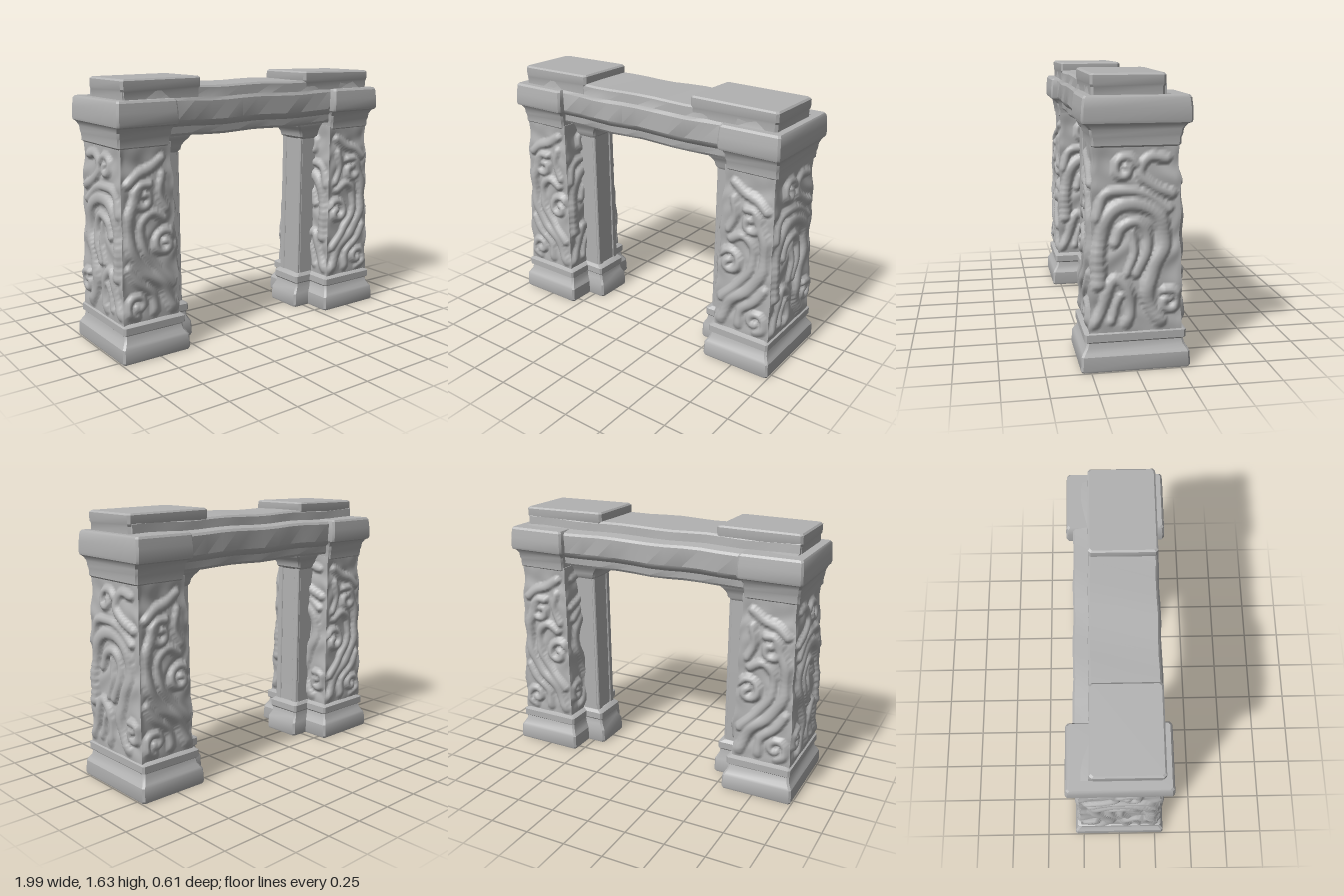
import * as THREE from 'three';
import { toCreasedNormals } from 'three/addons/utils/BufferGeometryUtils.js';

const stone = new THREE.MeshStandardMaterial({ color: 0xb2b2b2 });
stone.name = 'weathered stone';

function mesh(name, geo) {
  const m = new THREE.Mesh(geo, stone);
  m.name = name;
  return m;
}

// Stacked rectangular rings [y, halfX, halfZ] with small worn corner chamfers
function moulding(name, cx, cz, rings, c = 0.012) {
  const pos = [], idx = [];
  for (const [y, a, b] of rings) {
    const loop = [[a, -b + c], [a, b - c], [a - c, b], [c - a, b], [-a, b - c], [-a, c - b], [c - a, -b], [a - c, -b]];
    for (const [x, z] of loop) pos.push(cx + x, y, cz + z);
  }
  for (let i = 0; i < rings.length - 1; i++) {
    for (let j = 0; j < 8; j++) {
      const a = i * 8 + j, b = i * 8 + (j + 1) % 8;
      idx.push(a, a + 8, b, b, a + 8, b + 8);
    }
  }
  const top = (rings.length - 1) * 8;
  for (let j = 1; j < 7; j++) idx.push(0, j, j + 1, top, top + j + 1, top + j);
  const geo = new THREE.BufferGeometry();
  geo.setAttribute('position', new THREE.Float32BufferAttribute(pos, 3));
  geo.setIndex(idx);
  return mesh(name, toCreasedNormals(geo, 0.5));
}

// Carved strokes: [ridge width, ridge height, points (across, up)]
const stroke = ([w, h, pts]) => ({
  w, h,
  pts: new THREE.CatmullRomCurve3(pts.map(p => new THREE.Vector3(p[0], p[1], 0))).getPoints(48),
});
// Spiral that ends a wave
const curl = (cx, cy, r, dir, start, w = 0.026) => [w, 0.026, Array.from({ length: 12 }, (_, i) => {
  const t = start + dir * i * 0.62, q = r * (1 - i / 14);
  return [cx + q * Math.cos(t), cy + q * Math.sin(t)];
})];

// Narrow faces: across is positive toward the outer side
const frontStrokes = [
  curl(0.09, 0.33, 0.075, 1, -1.5),
  curl(-0.1, 0.67, 0.085, -1, 2.6),
  curl(0.03, 0.95, 0.085, -1, 2.0),
  [0.035, 0.026, [[-0.14, 0.27], [-0.08, 0.42], [0.03, 0.52], [0.12, 0.66], [0.13, 0.84], [0.07, 1.0]]],
  [0.028, 0.022, [[-0.02, 0.27], [-0.01, 0.37], [0.07, 0.45], [0.14, 0.55]]],
  [0.028, 0.022, [[-0.14, 0.42], [-0.04, 0.54], [0.04, 0.65], [0.05, 0.8], [-0.02, 0.86], [-0.1, 0.82]]],
  [0.03, 0.022, [[0.13, 1.04], [0.07, 1.09], [-0.02, 1.12], [-0.11, 1.17]]],
  [0.025, 0.02, [[-0.12, 0.88], [-0.08, 0.98], [-0.1, 1.08]]],
].map(stroke);

// Wide faces: across is positive toward the front
const sideStrokes = [
  [0.04, 0.028, [[0.2, 0.5], [0.2, 0.75], [0.13, 0.9], [0, 0.93], [-0.12, 0.87], [-0.16, 0.72], [-0.1, 0.58], [-0.06, 0.42], [-0.13, 0.27]]],
  [0.03, 0.024, [[0.12, 0.72], [0.08, 0.8], [0, 0.83], [-0.06, 0.76], [-0.05, 0.65], [0, 0.55]]],
  [0.022, 0.022, [[0.02, 0.78], [0.01, 0.66], [0.05, 0.55]]],
  [0.03, 0.024, [[0.22, 0.27], [0.17, 0.4], [0.12, 0.52], [0.06, 0.48], [0.03, 0.35], [0.05, 0.26]]],
  [0.022, 0.02, [[0.13, 0.28], [0.11, 0.37], [0.08, 0.43]]],
  curl(-0.18, 0.38, 0.07, 1, 1.2),
  curl(0.07, 1.12, 0.075, -1, 2.8),
  [0.03, 0.022, [[-0.2, 0.98], [-0.1, 1.02], [-0.02, 1.1], [-0.08, 1.18], [-0.18, 1.17]]],
  [0.028, 0.022, [[0.22, 0.86], [0.18, 0.98], [0.06, 1.0], [-0.05, 0.98], [-0.18, 0.9]]],
].map(stroke);

function relief(strokes, u, v) {
  let h = 0.006 * Math.sin(u * 31 + 4 * Math.sin(v * 9)) * Math.cos(v * 17 + u * 8);
  for (const s of strokes) {
    let d = 1;
    for (const p of s.pts) d = Math.min(d, Math.hypot(p.x - u, p.y - v));
    if (d < s.w) h = Math.max(h, s.h * Math.sqrt(1 - (d / s.w) ** 2));
  }
  return h;
}

// Tapered square shaft with wave carving raised from every face
function carvedShaft(s) {
  const y0 = 0.2, H = 1.06, hx = 0.18, hz = 0.25;
  const geo = new THREE.BoxGeometry(2 * hx, H, 2 * hz, 32, 88, 44);
  const p = geo.attributes.position, n = geo.attributes.normal;
  for (let i = 0; i < p.count; i++) {
    const x = p.getX(i), z = p.getZ(i), nx = n.getX(i), nz = n.getZ(i);
    const t = p.getY(i) / H + 0.5, y = y0 + t * H;
    const onSide = Math.abs(nx) > 0.5;
    const u = onSide ? z : s * x, half = onSide ? hz : hx;
    const fade = Math.min(1, (half - Math.abs(u)) / 0.02) * Math.min(1, 12 * t, 12 * (1 - t));
    const d = Math.abs(n.getY(i)) > 0.5 ? 0 : fade * relief(onSide ? sideStrokes : frontStrokes, u, y);
    // Uneven worn corners, shared by both adjoining faces
    const wear = 0.006 * Math.sin(y * 23) * Math.sin(y * 9 + 1);
    const kx = 1.04 - 0.14 * t + wear / hx, kz = 1.04 - 0.11 * t + wear / hz;
    p.setXYZ(i, s * 0.78 + x * kx + nx * d, y, z * kz + nz * d);
  }
  geo.computeVertexNormals();
  return mesh('carvedShaft', geo);
}

function pillar(s) {
  const g = new THREE.Group();
  g.name = s > 0 ? 'leftPillar' : 'rightPillar';
  // Base and capital of the wide pillar
  g.add(moulding('pillarBase', s * 0.77, 0, [
    [0, 0.222, 0.302], [0.012, 0.227, 0.307], [0.09, 0.224, 0.303], [0.105, 0.215, 0.295],
    [0.13, 0.2, 0.278], [0.16, 0.195, 0.27], [0.17, 0.206, 0.284], [0.212, 0.206, 0.284], [0.228, 0.18, 0.255],
  ]));
  g.add(carvedShaft(s));
  g.add(moulding('pillarCapital', s * 0.79, 0, [
    [1.235, 0.155, 0.23], [1.245, 0.167, 0.242], [1.285, 0.168, 0.244], [1.3, 0.172, 0.25],
    [1.33, 0.174, 0.254], [1.355, 0.184, 0.272], [1.365, 0.194, 0.294], [1.38, 0.197, 0.299],
    [1.44, 0.195, 0.297], [1.495, 0.191, 0.29], [1.508, 0.183, 0.28],
  ]));
  // Narrow inner pilaster with base, fluting and flared capital
  g.add(moulding('pilasterBase', s * 0.64, 0, [
    [0, 0.216, 0.128], [0.012, 0.221, 0.132], [0.09, 0.218, 0.13], [0.13, 0.195, 0.115],
    [0.16, 0.19, 0.112], [0.17, 0.2, 0.122], [0.212, 0.2, 0.122], [0.23, 0.17, 0.105],
  ]));
  g.add(moulding('pilasterShaft', s * 0.64, 0, [[0.22, 0.162, 0.1], [0.7, 0.157, 0.098], [1.25, 0.153, 0.096]]));
  for (const z of [-0.075, 0.075]) {
    g.add(moulding('pilasterFillet', s * 0.64, z, [[0.22, 0.169, 0.022], [1.22, 0.16, 0.02]], 0.006));
  }
  g.add(moulding('pilasterCapital', s * 0.64, 0, [
    [1.17, 0.155, 0.1], [1.185, 0.17, 0.11], [1.21, 0.175, 0.114], [1.235, 0.192, 0.125],
    [1.255, 0.212, 0.14], [1.27, 0.22, 0.146], [1.3, 0.22, 0.146],
  ]));
  return g;
}

// Beam profile (z, y), stepped at the back
function lintel() {
  const profile = [
    [0.205, 1.28], [0.215, 1.295], [0.218, 1.335], [0.238, 1.35], [0.252, 1.375], [0.252, 1.485], [0.24, 1.505],
    [0.238, 1.56], [0.228, 1.572], [-0.15, 1.572], [-0.162, 1.56], [-0.165, 1.51], [-0.24, 1.5],
    [-0.252, 1.485], [-0.252, 1.375], [-0.238, 1.35], [-0.218, 1.335], [-0.215, 1.295], [-0.205, 1.28],
  ];
  const shape = new THREE.Shape(profile.map(([z, y]) => new THREE.Vector2(-z, y)));
  const geo = new THREE.ExtrudeGeometry(shape, { depth: 1.84, steps: 16, bevelEnabled: false });
  geo.rotateY(Math.PI / 2).translate(-0.92, 0, 0);
  // Gentle unevenness along the hewn stone
  const p = geo.attributes.position;
  for (let i = 0; i < p.count; i++) {
    const x = p.getX(i), z = p.getZ(i);
    p.setY(i, p.getY(i) + 0.004 * Math.sin(x * 11 + z * 6));
    p.setZ(i, z + 0.003 * Math.sin(x * 17 + p.getY(i) * 9));
  }
  return mesh('lintel', toCreasedNormals(geo, 0.5));
}

// Worn capping slab, slightly tilted
function slab(name, x0, x1, tilt) {
  const hx = (x1 - x0) / 2;
  const m = moulding(name, 0, 0, [
    [-0.06, hx - 0.006, 0.198], [-0.012, hx - 0.006, 0.198], [0.002, hx, 0.203], [0.05, hx, 0.203], [0.06, hx - 0.01, 0.193],
  ], 0.014);
  m.position.set((x0 + x1) / 2, 1.564, 0.042);
  m.rotation.z = tilt;
  return m;
}

export function createModel() {
  const g = new THREE.Group();
  g.name = 'stoneGateway';
  g.add(pillar(1), pillar(-1), lintel());
  g.add(slab('leftCapSlab', 0.375, 0.94, -0.012), slab('rightCapSlab', -0.93, -0.41, 0.008));
  return g;
}
